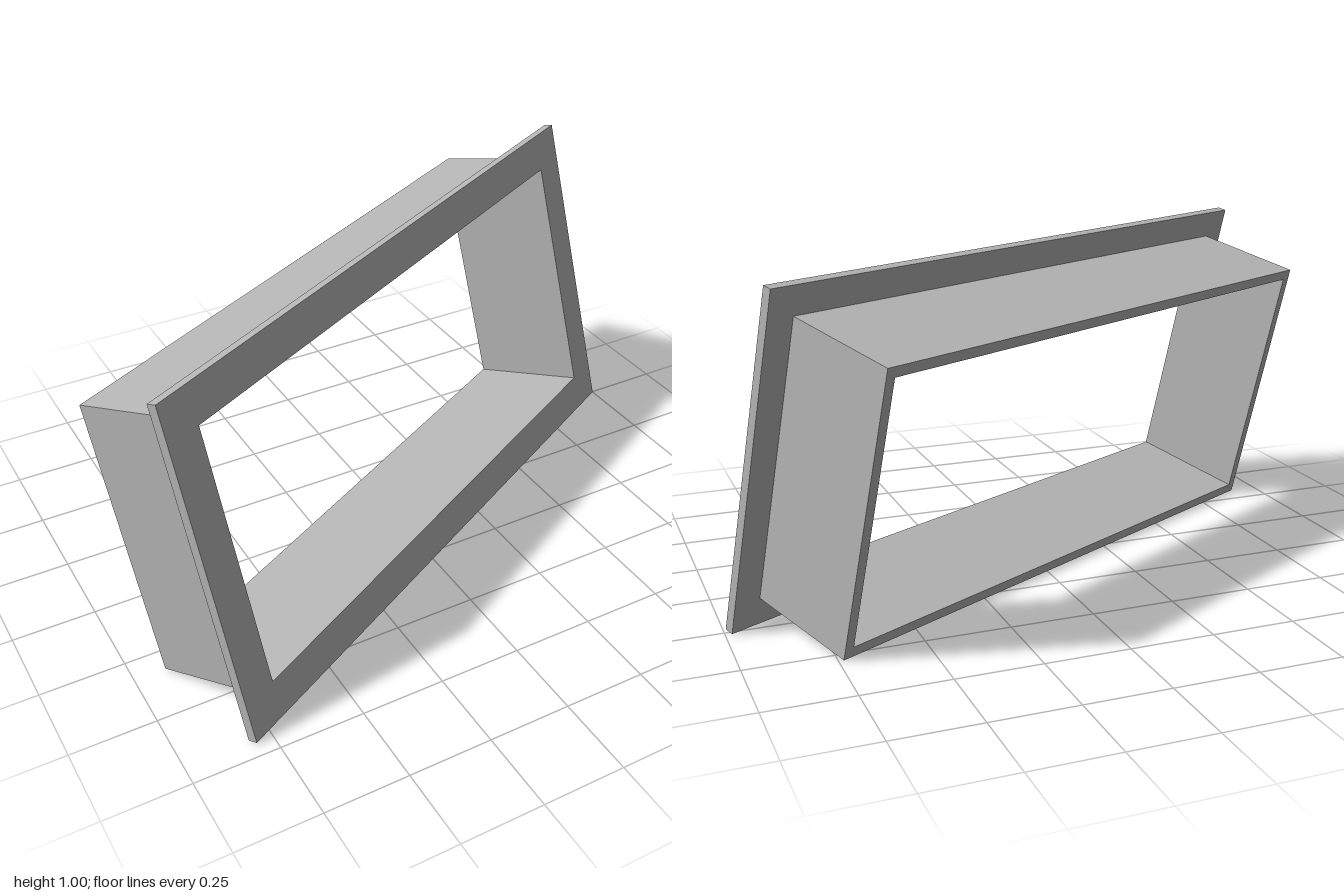
import * as THREE from 'three';

const OPEN_W = 1.80, OPEN_H = 0.784; // clear opening
const DEPTH = 0.379, PLATE = 0.028;  // overall depth and flange thickness

// Rectangular ring around the opening, extruded from z0 to z1
function ring(name, width, height, z0, z1, material) {
  const rect = (target, w, h) => target
    .moveTo(-w / 2, -h / 2).lineTo(w / 2, -h / 2)
    .lineTo(w / 2, h / 2).lineTo(-w / 2, h / 2).closePath();
  const shape = rect(new THREE.Shape(), width, height);
  shape.holes.push(rect(new THREE.Path(), OPEN_W, OPEN_H));
  const geometry = new THREE.ExtrudeGeometry(shape, { depth: z1 - z0, bevelEnabled: false });
  geometry.translate(0, 0, z0);
  const mesh = new THREE.Mesh(geometry, material);
  mesh.name = name;
  return mesh;
}

export function createModel() {
  const grey = new THREE.MeshStandardMaterial({ color: 0xb8b8b8 });
  grey.name = 'grey';

  // Frame with its front face on local z = 0, turned and tilted back
  const frame = new THREE.Group();
  frame.name = 'windowFrame';
  frame.add(ring('frontFlange', 2.031, 1.018, -PLATE, 0, grey));
  frame.add(ring('sleeve', 1.86, 0.845, -DEPTH, -PLATE, grey));
  frame.rotation.set(THREE.MathUtils.degToRad(-13.5), THREE.MathUtils.degToRad(27.9), 0, 'YXZ');
  frame.position.set(0.041, 0.505, 0.13);

  const model = new THREE.Group();
  model.name = 'model';
  model.add(frame);
  return model;
}
